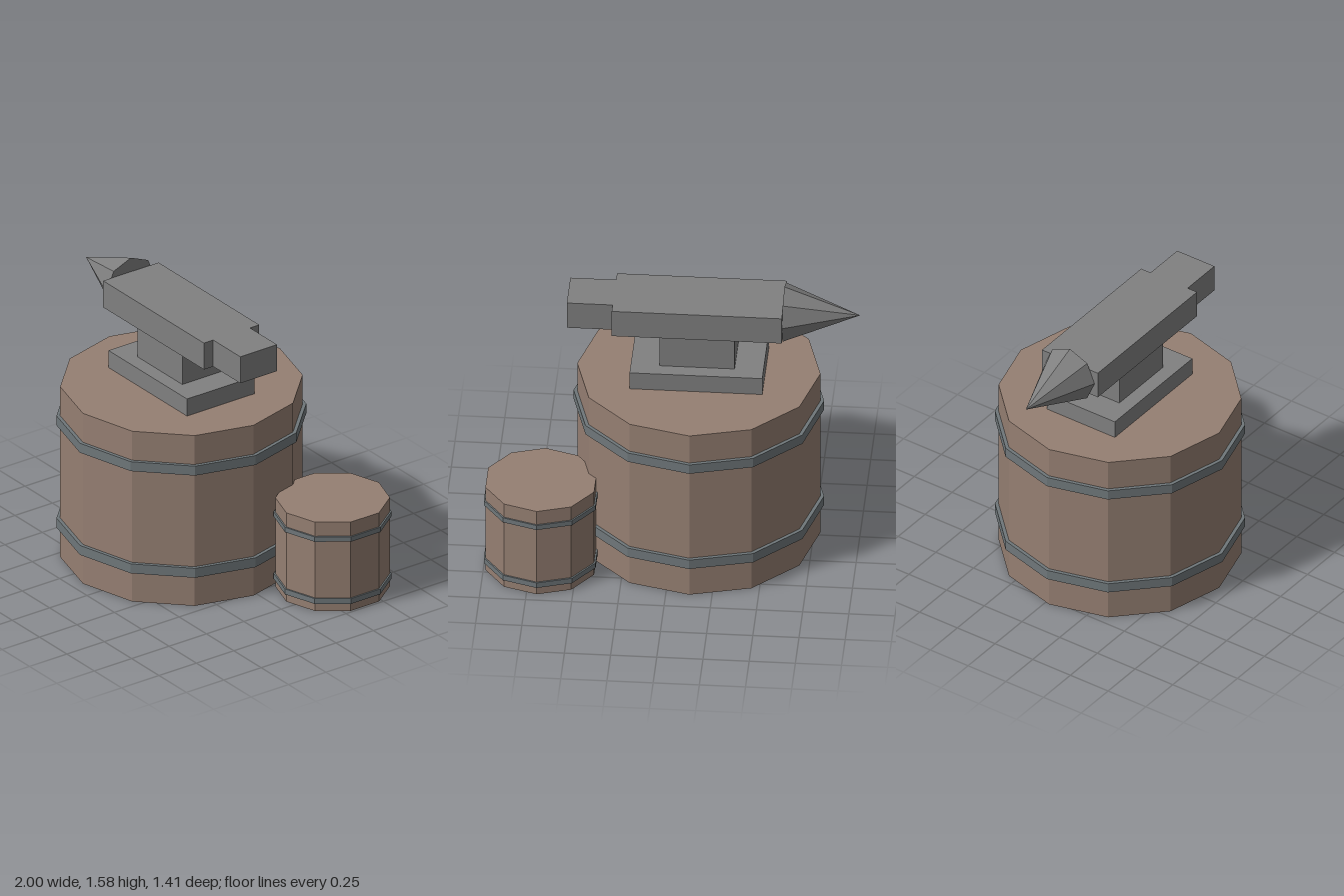
import * as THREE from 'three';

const flat = (name, color) => {
  const m = new THREE.MeshStandardMaterial({ color, flatShading: true });
  m.name = name;
  return m;
};

export function createModel() {
  const wood = flat('wood', 0x957f72);
  const steel = flat('steel', 0x808080);
  const iron = flat('bandIron', 0x6f777a);
  const model = new THREE.Group();
  model.name = 'anvilOnBarrel';

  const add = (parent, name, geometry, material, x, y, z) => {
    const mesh = new THREE.Mesh(geometry, material);
    mesh.name = name;
    mesh.position.set(x, y, z);
    parent.add(mesh);
    return mesh;
  };

  // Faceted barrel with raised iron bands, each given as [bottom, top]
  const barrel = (name, x, z, sides, radius, height, bandRadius, bands) => {
    const group = new THREE.Group();
    group.name = name;
    group.position.set(x, 0, z);
    add(group, 'staves', new THREE.CylinderGeometry(radius, radius, height, sides), wood, 0, height / 2, 0);
    for (const [y0, y1] of bands) {
      // Closed ring section: outer wall plus top and bottom lips
      const profile = [[radius, y0], [bandRadius, y0], [bandRadius, y1], [radius, y1]]
        .map(([r, y]) => new THREE.Vector2(r, y));
      add(group, 'band', new THREE.LatheGeometry(profile, sides), iron, 0, 0, 0);
    }
    model.add(group);
  };
  barrel('largeBarrel', -0.127, 0.026, 12, 0.658, 1.03, 0.678, [[0.18, 0.237], [0.798, 0.855]]);
  barrel('smallBarrel', 0.694, -0.384, 10, 0.309, 0.537, 0.318, [[0.047, 0.079], [0.423, 0.452]]);

  // Anvil blocks: name, x range, y range, depth
  const anvil = new THREE.Group();
  anvil.name = 'anvil';
  const z = 0.025;
  const blocks = [
    ['foot', -0.488, 0.23, 1.03, 1.133, 0.45],
    ['waist', -0.332, 0.075, 1.133, 1.34, 0.286],
    ['face', -0.59, 0.33, 1.34, 1.5, 0.37],
    ['heel', 0.33, 0.578, 1.34, 1.5, 0.246],
  ];
  for (const [name, x0, x1, y0, y1, depth] of blocks) {
    add(anvil, name, new THREE.BoxGeometry(x1 - x0, y1 - y0, depth), steel, (x0 + x1) / 2, (y0 + y1) / 2, z);
  }

  // Eight-sided horn pointing to the side
  const horn = new THREE.ConeGeometry(0.163, 0.41, 8).rotateZ(Math.PI / 2);
  add(anvil, 'horn', horn, steel, -0.795, 1.421, z);
  model.add(anvil);

  return model;
}
